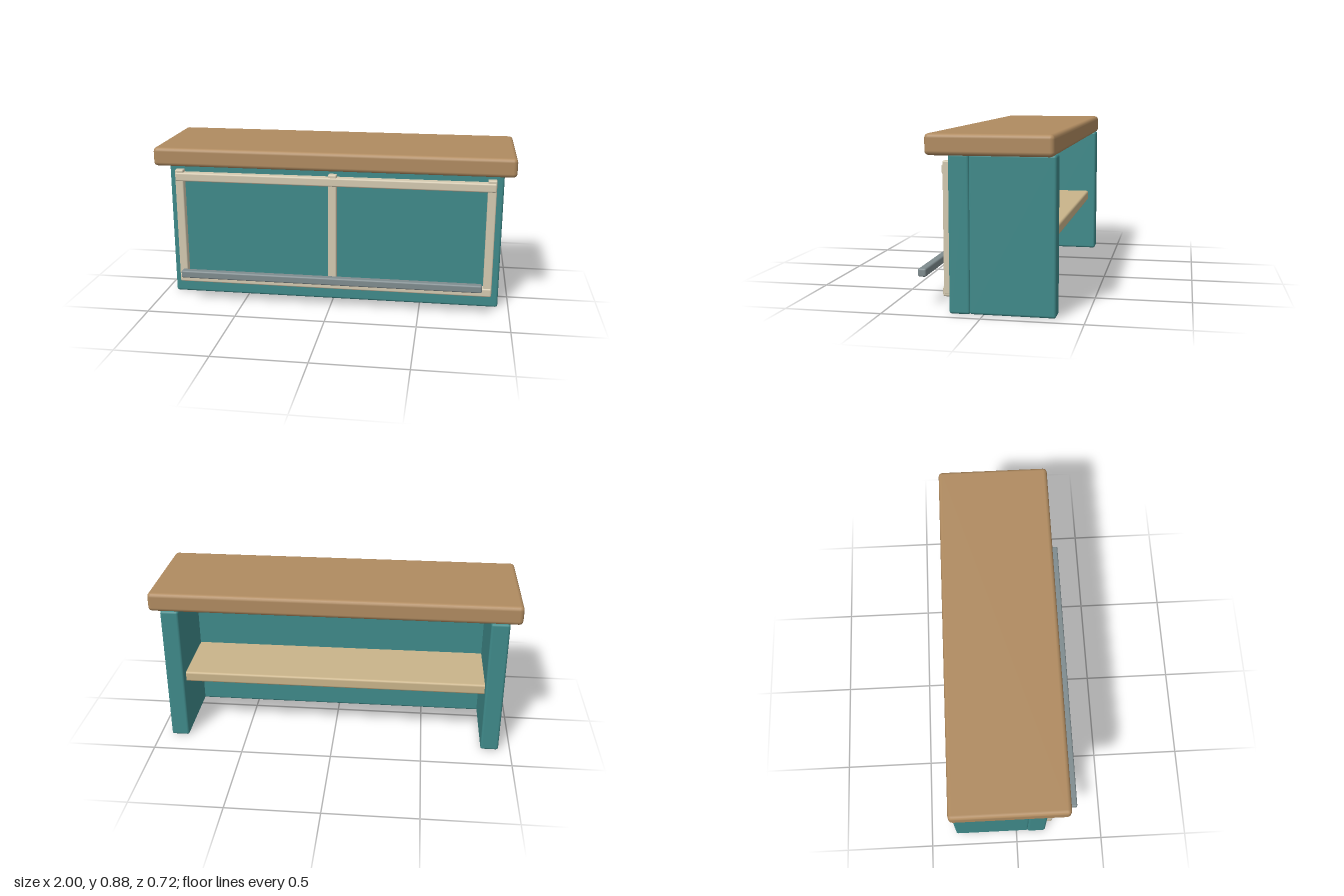
import * as THREE from 'three';
import { RoundedBoxGeometry } from 'three/addons/geometries/RoundedBoxGeometry.js';

const paint = (color) => new THREE.MeshStandardMaterial({ color });

export function createModel() {
  const counter = new THREE.Group();
  counter.name = 'counter';

  const teal = paint(0x3f8a8a);
  const wood = paint(0xb08b60);
  const shelfWood = paint(0xcab48a);
  const cream = paint(0xd4c9b0);
  const metal = paint(0x7f8c8f);

  // Soft-edged box given by its extents on each axis
  function block(name, material, [x0, x1], [y0, y1], [z0, z1], radius) {
    const geometry = new RoundedBoxGeometry(x1 - x0, y1 - y0, z1 - z0, 2, radius);
    const mesh = new THREE.Mesh(geometry, material);
    mesh.name = name;
    mesh.position.set((x0 + x1) / 2, (y0 + y1) / 2, (z0 + z1) / 2);
    counter.add(mesh);
  }

  // Worktop
  block('countertop', wood, [-1, 1], [0.78, 0.885], [-0.355, 0.27], 0.022);

  // Body: front panel and two side panels, open at the back
  block('frontPanel', teal, [-0.94, 0.94], [0, 0.785], [0.065, 0.17], 0.013);
  block('leftSidePanel', teal, [0.835, 0.935], [0, 0.785], [-0.357, 0.07], 0.013);
  block('rightSidePanel', teal, [-0.935, -0.835], [0, 0.785], [-0.357, 0.07], 0.013);

  // Shelf between the sides
  block('shelf', shelfWood, [-0.85, 0.85], [0.33, 0.39], [-0.31, 0.075], 0.012);

  // Trim on the front panel
  for (const [name, x] of [['leftStile', 0.877], ['centreStile', 0], ['rightStile', -0.877]]) {
    block(name, cream, [x - 0.024, x + 0.024], [0.085, 0.747], [0.155, 0.207], 0.007);
  }
  for (const [name, y] of [['bottomTrim', 0.1], ['topTrim', 0.706]]) {
    block(name, cream, [-0.9, 0.9], [y - 0.025, y + 0.025], [0.16, 0.212], 0.009);
  }

  // Foot rail standing off the front
  block('footRail', metal, [-0.843, 0.843], [0.154, 0.197], [0.315, 0.358], 0.009);

  return counter;
}
